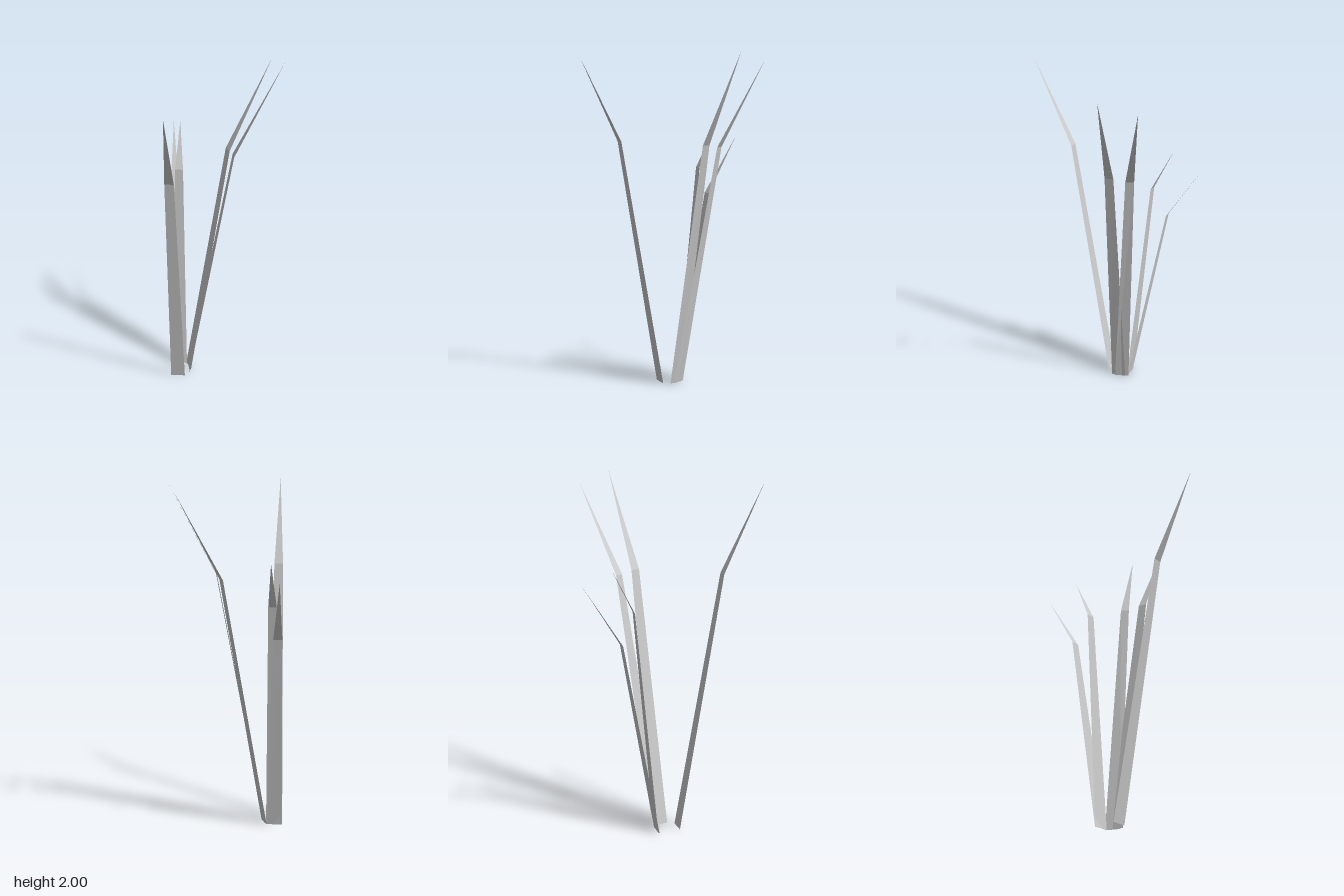
import * as THREE from 'three';

// Each blade: base edge, bend edge (left and right corners) and pointed tip
const BLADES = [
  { name: 'frontBlade',
    base: [[-0.325, 0, 0.022], [-0.24, 0, 0.022]],
    bend: [[-0.304, 1.48, 0.282], [-0.253, 1.48, 0.282]],
    tip: [-0.275, 1.97, 0.527] },
  { name: 'tallSideBlade',
    base: [[-0.212, 0, -0.013], [-0.227, 0, -0.097]],
    bend: [[0.056, 1.465, -0.083], [0.046, 1.465, -0.132]],
    tip: [0.326, 2, -0.17] },
  { name: 'rearSideBlade',
    base: [[-0.206, 0, -0.037], [-0.24, 0, -0.114]],
    bend: [[0.027, 1.45, -0.195], [0.003, 1.45, -0.238]],
    tip: [0.255, 1.945, -0.365] },
  { name: 'longBackBlade',
    base: [[-0.243, 0, -0.107], [-0.328, 0, -0.105]],
    bend: [[-0.278, 1.14, -0.317], [-0.328, 1.14, -0.315]],
    tip: [-0.319, 1.48, -0.531] },
  { name: 'shortBackBlade',
    base: [[-0.236, 0, -0.105], [-0.321, 0, -0.11]],
    bend: [[-0.245, 1.305, -0.231], [-0.292, 1.305, -0.234]],
    tip: [-0.265, 1.56, -0.36] },
];

// Flat blade: a tapering strip up to the bend, then a triangle to the tip
function bladeGeometry({ base, bend, tip }) {
  const [a, b] = base, [c, d] = bend;
  const corners = [a, b, d, a, d, c, c, d, tip];
  const geometry = new THREE.BufferGeometry();
  geometry.setAttribute('position', new THREE.Float32BufferAttribute(corners.flat(), 3));
  geometry.computeVertexNormals();
  return geometry;
}

export function createModel() {
  const group = new THREE.Group();
  group.name = 'grassTuft';
  const material = new THREE.MeshStandardMaterial({ color: 0xcccccc, side: THREE.DoubleSide });
  material.name = 'paleGrey';
  for (const blade of BLADES) {
    const mesh = new THREE.Mesh(bladeGeometry(blade), material);
    mesh.name = blade.name;
    group.add(mesh);
  }
  return group;
}
